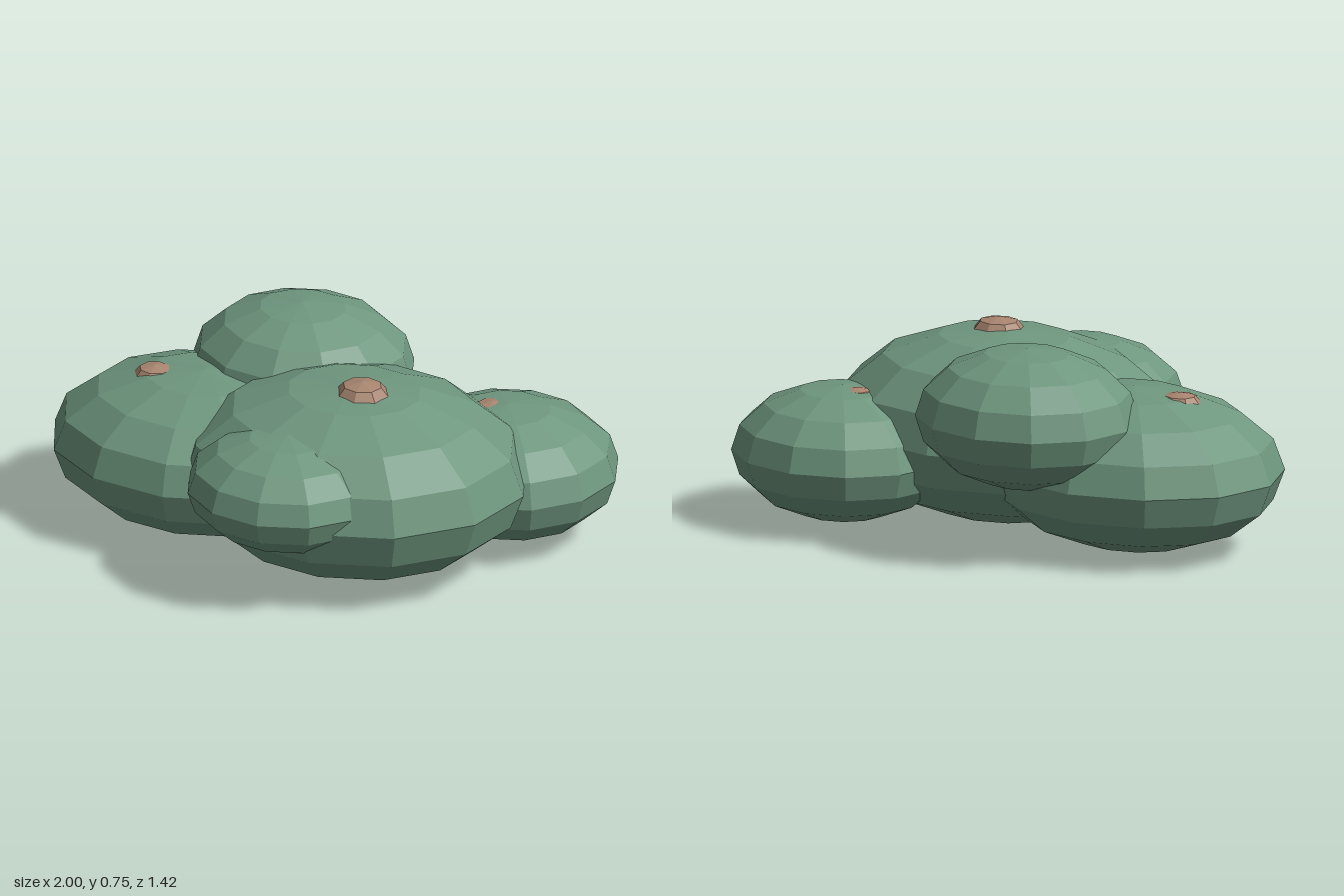
import * as THREE from 'three';

export function createModel() {
  const group = new THREE.Group();
  const leafGreen = new THREE.MeshStandardMaterial({ color: 0x6f977f, flatShading: true });
  leafGreen.name = 'leafGreen';
  const budTan = new THREE.MeshStandardMaterial({ color: 0xa88570, flatShading: true });
  budTan.name = 'budTan';

  // Faceted ellipsoid with given centre and radii
  function blob(name, material, segments, rings, centre, radii) {
    const geometry = new THREE.SphereGeometry(1, segments, rings);
    geometry.scale(...radii);
    const mesh = new THREE.Mesh(geometry, material);
    mesh.name = name;
    mesh.position.set(...centre);
    group.add(mesh);
  }

  // Foliage clumps
  const clumps = [
    ['mainClump', [0.16, 0.35, 0.07], [0.63, 0.34, 0.54]],
    ['rightClump', [-0.44, 0.3, -0.055], [0.56, 0.29, 0.455]],
    ['leftBackClump', [0.6, 0.27, -0.305], [0.4, 0.24, 0.367]],
    ['topBackClump', [-0.18, 0.51, -0.35], [0.405, 0.25, 0.362]],
    ['frontClump', [0.02, 0.405, 0.375], [0.365, 0.205, 0.333]],
  ];
  for (const [name, centre, radii] of clumps) blob(name, leafGreen, 12, 8, centre, radii);

  // Small buds half sunk into the clumps
  const buds = [
    ['mainBud', [0.2, 0.67, 0.1], [0.1, 0.05, 0.09]],
    ['rightBud', [-0.62, 0.547, -0.035], [0.08, 0.04, 0.072]],
    ['leftBackBud', [0.54, 0.475, -0.305], [0.07, 0.035, 0.063]],
  ];
  for (const [name, centre, radii] of buds) blob(name, budTan, 8, 4, centre, radii);

  return group;
}
